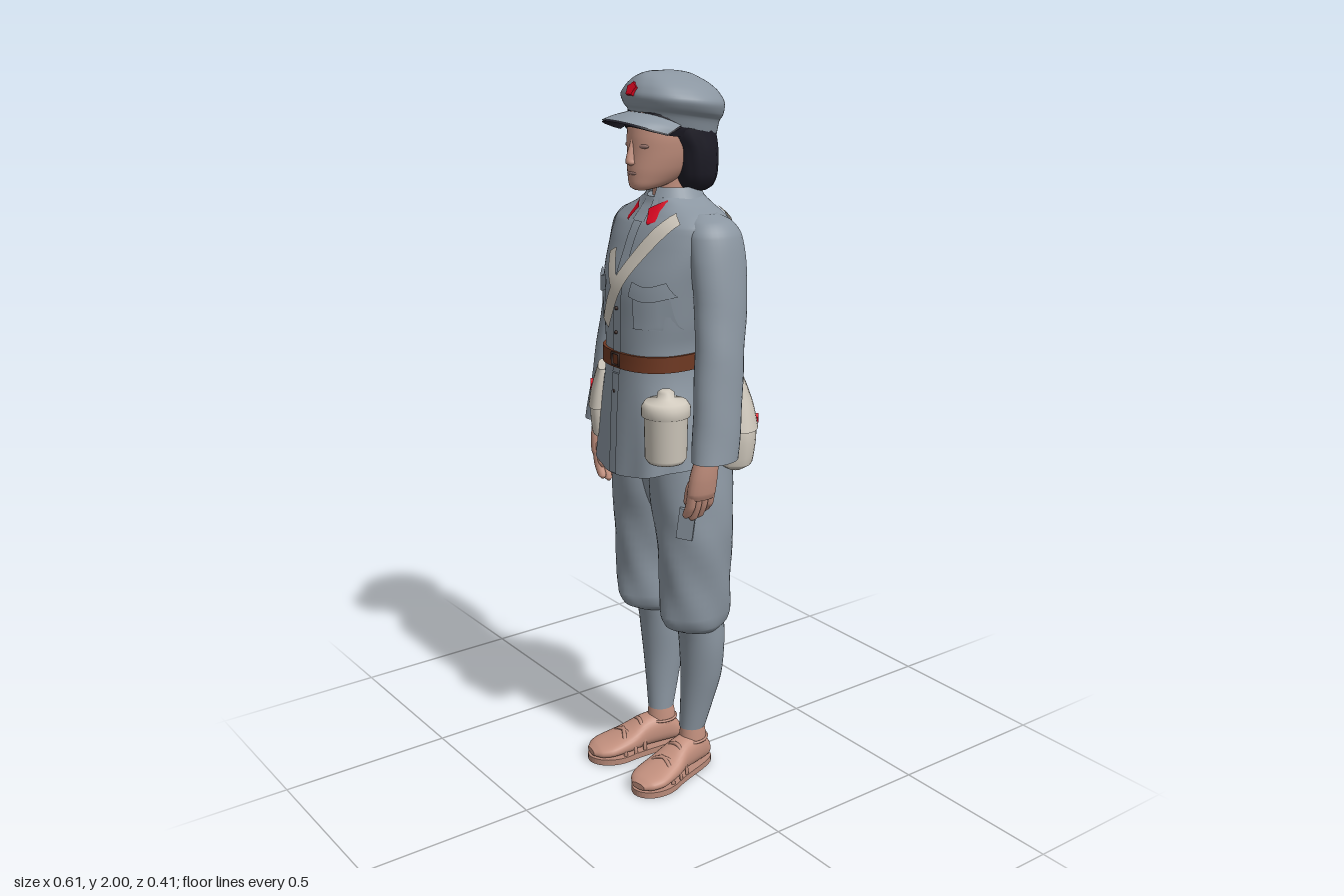
import * as THREE from 'three';

const mat = (name, color, side = THREE.FrontSide) => {
  const m = new THREE.MeshStandardMaterial({ color, side });
  m.name = name;
  return m;
};

// Cross-section at height y: rows are [y, centreX, centreZ, radiusX, radiusZ], y ascending
function sectionAt(S, y) {
  let i = 0;
  while (i < S.length - 2 && y > S[i + 1][0]) i++;
  const slope = (j, k) => (S[j + 1][k] - S[j][k]) / (S[j + 1][0] - S[j][0]);
  const tangent = (j, k) => {
    if (j === 0) return slope(0, k);
    if (j === S.length - 1) return slope(j - 1, k);
    const a = slope(j - 1, k), b = slope(j, k);
    return a * b <= 0 ? 0 : (2 * a * b) / (a + b);
  };
  const h = S[i + 1][0] - S[i][0];
  const t = Math.min(1, Math.max(0, (y - S[i][0]) / h)), t2 = t * t, t3 = t2 * t;
  return [1, 2, 3, 4].map(k => (2 * t3 - 3 * t2 + 1) * S[i][k] + (t3 - 2 * t2 + t) * h * tangent(i, k)
    + (3 * t2 - 2 * t3) * S[i + 1][k] + (t3 - t2) * h * tangent(i + 1, k));
}

function indexed(pos, idx) {
  const g = new THREE.BufferGeometry();
  g.setAttribute('position', new THREE.Float32BufferAttribute(pos, 3));
  g.setIndex(idx);
  g.computeVertexNormals();
  return g;
}

// Smooth skin through the sections; p squares the outline, fold(a, y) scales the radius
function loft(S, { n = 32, rows = 4, p = 2, arc = null, fold = () => 1, lift = () => 0, caps = !arc } = {}) {
  const pos = [], idx = [], [a0, a1] = arc || [0, Math.PI * 2];
  const cols = arc ? n + 1 : n, R = (S.length - 1) * rows;
  const sp = v => Math.sign(v) * Math.abs(v) ** (2 / p);
  const ring = r => {
    const i = Math.min(S.length - 2, Math.floor(r / rows));
    const y = S[i][0] + (S[i + 1][0] - S[i][0]) * (r / rows - i);
    const [cx, cz, rx, rz] = sectionAt(S, y);
    for (let c = 0; c < cols; c++) {
      const a = a0 + (a1 - a0) * c / n, f = fold(a, y);
      pos.push(cx + rx * f * sp(Math.sin(a)), y + lift(a, r / R), cz + rz * f * sp(Math.cos(a)));
    }
    return [cx, y, cz];
  };
  for (let r = 0; r <= R; r++) ring(r);
  for (let r = 0; r < R; r++) for (let c = 0; c < n; c++) {
    const A = r * cols + c, B = r * cols + (c + 1) % cols;
    idx.push(A, B, B + cols, A, B + cols, A + cols);
  }
  if (caps) for (const r of [0, R]) {
    const base = pos.length / 3, mid = base + cols;
    pos.push(...ring(r));
    for (let c = 0; c < n; c++) {
      const A = base + c, B = base + (c + 1) % cols;
      idx.push(...(r ? [mid, A, B] : [mid, B, A]));
    }
  }
  return indexed(pos, idx);
}

// Cloth band following an x-y path, with its depth given by zOf(x, y)
function ribbon(path, width, zOf) {
  const curve = new THREE.SplineCurve(path.map(q => new THREE.Vector2(...q)));
  const pos = [], idx = [], N = 24, W = 4;
  for (let i = 0; i <= N; i++) {
    const q = curve.getPoint(i / N), t = curve.getTangent(i / N);
    for (let j = 0; j <= W; j++) {
      const d = width * (j / W - 0.5), x = q.x - t.y * d, y = q.y + t.x * d;
      pos.push(x, y, zOf(x, y));
      if (i < N && j < W) {
        const A = i * (W + 1) + j, B = A + W + 1;
        idx.push(A, B, B + 1, A, B + 1, A + 1);
      }
    }
  }
  return indexed(pos, idx);
}

function starGeometry(r) {
  const s = new THREE.Shape();
  for (let i = 0; i < 10; i++) {
    const a = Math.PI / 2 + i * Math.PI / 5, q = i % 2 ? r * 0.75 : r;
    s[i ? 'lineTo' : 'moveTo'](q * Math.cos(a), q * Math.sin(a));
  }
  return new THREE.ExtrudeGeometry(s, { depth: 0.009, bevelEnabled: false });
}

export function createModel() {
  const root = new THREE.Group();
  root.name = 'uniformedFigure';
  const cloth = mat('blueGreyCloth', 0x8b96a1, THREE.DoubleSide), skin = mat('skin', 0xc4917f);
  const canvas = mat('creamCanvas', 0xcfc8bc, THREE.DoubleSide), black = mat('black', 0x1d1c26, THREE.DoubleSide);
  const red = mat('red', 0xd8051f, THREE.DoubleSide), leather = mat('brownLeather', 0x6e3822, THREE.DoubleSide);
  const sandal = mat('sandalTan', 0xb98a79), faceDark = mat('faceShade', 0x9a766e), dark = mat('darkButton', 0x3a2a26);
  const add = (name, geo, m, parent = root) => {
    const mesh = new THREE.Mesh(geo, m);
    mesh.name = name;
    parent.add(mesh);
    return mesh;
  };
  const side = (S, s) => S.map(([y, x, ...r]) => [y, x * s, ...r]);

  // Jacket with a flared skirt whose hem rises at the hips
  const jacket = [[0.94, 0, 0.035, 0.178, 0.158], [1.1, 0, 0.04, 0.162, 0.143], [1.23, 0, 0.05, 0.135, 0.124],
    [1.28, 0, 0.05, 0.135, 0.122], [1.36, 0, 0.04, 0.15, 0.13], [1.46, 0, 0.027, 0.168, 0.138], [1.56, 0, 0, 0.188, 0.13],
    [1.61, 0, -0.01, 0.19, 0.117], [1.638, 0, -0.014, 0.16, 0.1], [1.66, 0, -0.014, 0.112, 0.085], [1.68, 0, -0.012, 0.075, 0.075]];
  const bodyP = 2.4;
  const skirtFold = (a, y) => 1 + Math.max(0, 1.22 - y) * 0.09 * Math.cos(9 * a);
  const hemLift = (a, t) => Math.max(0, 1 - t * 10) * 0.03 * Math.sin(a) ** 2;
  add('jacket', loft(jacket, { n: 56, p: bodyP, fold: skirtFold, lift: hemLift }), cloth);
  const onBody = (dir, off) => (x, y) => {
    const [cx, cz, rx, rz] = sectionAt(jacket, y), u = Math.min(1, Math.abs(x - cx) / rx);
    return cz + dir * (rz * (1 - u ** bodyP) ** (1 / bodyP) + off);
  };
  add('frontPlacket', ribbon([[0, 1.62], [0, 1.4], [0, 1.22]], 0.035, onBody(1, 0.004)), cloth);
  add('skirtPlacket', ribbon([[0.005, 1.22], [0.005, 1.1], [0.01, 0.945]], 0.03, onBody(1, 0.009)), cloth);
  for (const y of [1.395, 1.33, 1.17])
    add('button', new THREE.SphereGeometry(0.005, 10, 8), dark).position.set(0, y, onBody(1, 0.007)(0, y));
  for (const s of [1, -1]) {
    add('chestPocket', ribbon([[s * 0.105, 1.46], [s * 0.105, 1.35]], 0.085, onBody(1, 0.004)), cloth);
    add('pocketFlap', ribbon([[s * 0.055, 1.455], [s * 0.105, 1.445], [s * 0.152, 1.46]], 0.04, onBody(1, 0.01)), cloth);
  }

  // Collar with red tabs
  const collar = [[1.62, 0, -0.006, 0.118, 0.112], [1.66, 0, -0.012, 0.092, 0.088], [1.705, 0, -0.015, 0.064, 0.068]];
  add('collar', loft(collar, { arc: [0.2, Math.PI * 2 - 0.2] }), cloth);
  const onCollar = (x, y) => {
    const [, cz, rx, rz] = sectionAt(collar, y);
    return cz + rz * Math.sqrt(Math.max(0, 1 - (x / rx) ** 2)) + 0.007;
  };
  for (const s of [1, -1]) add('collarTab', ribbon([[s * 0.04, 1.664], [s * 0.052, 1.645], [s * 0.062, 1.623]], 0.044, onCollar), red);

  // Belt and buckle
  add('belt', loft([1.235, 1.255, 1.278].map(y => {
    const [cx, cz, rx, rz] = sectionAt(jacket, y);
    return [y, cx, cz, rx + 0.008, rz + 0.008];
  }), { n: 56, p: bodyP }), leather);
  const buckle = add('buckle', new THREE.TorusGeometry(0.022, 0.004, 6, 4).rotateZ(Math.PI / 4), dark);
  buckle.position.set(0, 1.257, 0.181);

  // Shoulder straps, crossing at the chest and hanging to the bag at the back
  add('frontStrap', ribbon([[0.125, 1.637], [0.04, 1.52], [-0.01, 1.44], [-0.055, 1.345]], 0.042, onBody(1, 0.008)), canvas);
  add('crossStrap', ribbon([[-0.065, 1.54], [-0.04, 1.49], [0, 1.43]], 0.034, onBody(1, 0.007)), canvas);
  add('strapEnd', ribbon([[0.112, 1.65], [0.1, 1.615]], 0.035, onBody(-1, 0.008)), canvas);
  add('strapShoulder', ribbon([[-0.135, 1.648], [-0.13, 1.61], [-0.105, 1.54]], 0.034, onBody(-1, 0.012)), canvas);
  const hang = (x, y) => Math.min(-0.12 - (1.54 - y) * 0.06, onBody(-1, 0.008)(x, y));
  add('backStrap', ribbon([[-0.105, 1.545], [-0.03, 1.41], [0.04, 1.28], [0.105, 1.16]], 0.028, hang), canvas);

  // Shoulder bag and belt pouch share one soft shape with a flap
  const softBag = (name, w, h, d, taper, x, y, z, turn, dotX, dotY, dotR) => {
    const g = new THREE.Group();
    g.name = name;
    g.position.set(x, y, z);
    g.rotation.y = turn;
    root.add(g);
    const S = [[-h, 0, 0, w * 0.7, d * 0.4], [-h * 0.85, 0, 0, w * 0.93, d * 0.85], [-h * 0.2, 0, 0, w, d],
      [h * 0.5, 0, 0, w * (0.4 + 0.6 * taper), d * 0.68], [h, 0, 0, w * taper, d * 0.22]];
    add(name + 'Body', loft(S, { p: 2.8 }), canvas, g);
    add(name + 'Flap', loft([-0.1, 0.3, 0.7, 1.03].map(k => {
      const [, , rx, rz] = sectionAt(S, Math.min(h, k * h));
      return [k * h, 0, 0, rx + 0.004, rz + 0.005];
    }), { p: 2.8 }), canvas, g);
    const [, , , rz] = sectionAt(S, dotY);
    add(name + 'Star', starGeometry(dotR), red, g).position.set(dotX, dotY, rz);
  };
  softBag('shoulderBag', 0.102, 0.127, 0.06, 0.66, 0.138, 1.073, -0.117, 2.53, 0.014, -0.004, 0.014);
  softBag('beltPouch', 0.066, 0.1, 0.036, 0.84, -0.149, 1.1, 0.123, -0.62, 0, 0.045, 0.018);

  // Canteen
  const profile = [[0, 0.006], [0.048, 0.006], [0.056, 0.018], [0.058, 0.13], [0.065, 0.134], [0.065, 0.158], [0.056, 0.172],
    [0.024, 0.18], [0.022, 0.196], [0.014, 0.202], [0, 0.202]].map(q => new THREE.Vector2(...q));
  add('canteen', new THREE.LatheGeometry(profile, 32), canvas).position.set(0.172, 1.003, 0.14);

  // Trouser seat tucked between the legs
  add('trouserSeat', loft([[0.79, 0, -0.005, 0.03, 0.035], [0.82, 0, -0.005, 0.06, 0.07], [0.9, 0, -0.005, 0.09, 0.092], [1, 0, 0, 0.1, 0.11]]), cloth);

  for (const s of [1, -1]) {
    const tag = s > 0 ? 'left' : 'right';
    // Sleeve
    add(tag + 'Sleeve', loft(side([[1.015, 0.254, 0.04, 0.051, 0.068], [1.12, 0.242, 0.024, 0.053, 0.07], [1.28, 0.225, 0.006, 0.055, 0.07],
      [1.4, 0.208, -0.01, 0.056, 0.075], [1.52, 0.187, -0.018, 0.058, 0.081], [1.59, 0.168, -0.019, 0.06, 0.078],
      [1.625, 0.152, -0.018, 0.052, 0.062], [1.645, 0.13, -0.016, 0.03, 0.035]], s),
    { fold: (a, y) => 1 + 0.014 * Math.sin(38 * y + 2 * a) * (y < 1.45 ? 1 : 0.3) }), cloth);
    // Hand with curled fingers and thumb
    add(tag + 'Hand', loft(side([[0.905, 0.228, 0.064, 0.02, 0.038], [0.925, 0.23, 0.065, 0.027, 0.044], [0.97, 0.236, 0.063, 0.029, 0.042],
      [1.04, 0.245, 0.055, 0.025, 0.03]], s), { n: 20 }), skin);
    for (let f = 0; f < 4; f++) {
      const z = 0.034 + f * 0.02, low = 0.836 + [0.018, 0.004, 0, 0.01][f];
      add(tag + 'Finger', loft(side([[low, 0.2, z, 0.004, 0.004], [low + 0.01, 0.204, z, 0.014, 0.0115], [0.885, 0.219, z, 0.016, 0.0125],
        [0.935, 0.23, z, 0.016, 0.012]], s), { n: 12 }), skin);
    }
    add(tag + 'Thumb', loft(side([[0.88, 0.203, 0.092, 0.004, 0.004], [0.895, 0.206, 0.092, 0.012, 0.012], [0.94, 0.217, 0.09, 0.014, 0.014],
      [0.975, 0.23, 0.078, 0.012, 0.012]], s), { n: 12 }), skin);
    // Trouser leg, gathered at the knee
    add(tag + 'TrouserLeg', loft(side([[0.465, 0.1, -0.025, 0.064, 0.072], [0.485, 0.102, -0.014, 0.078, 0.096], [0.52, 0.104, -0.011, 0.085, 0.106],
      [0.62, 0.107, -0.01, 0.09, 0.106], [0.75, 0.104, -0.006, 0.104, 0.108], [0.86, 0.092, -0.007, 0.11, 0.119],
      [0.98, 0.086, -0.002, 0.1, 0.125]], s), { n: 44, fold: (a, y) => 1 + 0.028 * Math.sin(5 * a + 28 * y) * Math.min(1, (1 - y) * 3) }), cloth);
    // Wrapped calf
    add(tag + 'Calf', loft(side([[0.135, 0.078, -0.023, 0.036, 0.039], [0.22, 0.086, -0.034, 0.046, 0.05], [0.32, 0.094, -0.043, 0.06, 0.061],
      [0.42, 0.098, -0.04, 0.068, 0.065], [0.5, 0.1, -0.03, 0.066, 0.072]], s)), cloth);
    // Foot in a strapped sandal
    const foot = new THREE.Group();
    foot.name = tag + 'Foot';
    foot.position.set(s * 0.083, 0, 0);
    foot.rotation.y = s * 0.19;
    root.add(foot);
    const F = [[-0.088, 0, -0.04, 0.014, 0.014], [-0.07, 0, -0.05, 0.03, 0.032], [-0.03, 0, -0.066, 0.038, 0.05], [0.03, 0, -0.062, 0.042, 0.046],
      [0.09, 0, -0.047, 0.056, 0.032], [0.15, 0, -0.037, 0.06, 0.022], [0.185, 0, -0.033, 0.048, 0.017], [0.206, 0, -0.03, 0.024, 0.009]];
    add('footBody', loft(F, { p: 2.3 }).rotateX(Math.PI / 2), skin, foot);
    add('ankle', loft([[0.06, 0, -0.025, 0.038, 0.046], [0.1, 0, -0.025, 0.036, 0.043], [0.15, 0, -0.023, 0.032, 0.036]]), skin, foot);
    const sole = new THREE.Shape();
    sole.moveTo(0, 0.094);
    sole.bezierCurveTo(0.05, 0.094, 0.035, -0.02, 0.061, -0.11);
    sole.bezierCurveTo(0.07, -0.17, 0.035, -0.212, 0, -0.212);
    sole.bezierCurveTo(-0.035, -0.212, -0.07, -0.17, -0.061, -0.11);
    sole.bezierCurveTo(-0.035, -0.02, -0.05, 0.094, 0, 0.094);
    add('sole', new THREE.ExtrudeGeometry(sole, { depth: 0.018, bevelEnabled: false }).rotateX(-Math.PI / 2), sandal, foot);
    for (const [z, lean] of [[0.05, 0], [0.1, -0.3], [0.1, 0.3]]) {
      const [, c, rx, ry] = sectionAt(F, z);
      const strap = add('sandalStrap', new THREE.TorusGeometry(1, 0.07, 8, 24, Math.PI), sandal, foot);
      strap.scale.set(rx, ry - c - 0.018, 0.09);
      strap.position.set(0, 0.02, z);
      strap.rotation.y = lean;
    }
    add('heelStrap', new THREE.TorusGeometry(0.039, 0.004, 8, 28).rotateX(Math.PI / 2).scale(1, 1, 1.15), sandal, foot).position.set(0, 0.095, -0.025);
  }
  const flap = add('trouserPocketFlap', new THREE.BoxGeometry(0.045, 0.09, 0.01), cloth);
  flap.position.set(0.182, 0.82, 0.08);
  flap.rotation.set(0.1, 0.7, -0.2);
  add('legWrapEnd', ribbon([[-0.095, 0.474], [-0.068, 0.46], [-0.04, 0.462]], 0.026, x => -0.112 + 14 * (x + 0.095) ** 2), canvas);

  // Neck, head and face
  add('neck', loft([[1.62, 0, -0.012, 0.055, 0.058], [1.7, 0, -0.005, 0.047, 0.052], [1.77, 0, -0.005, 0.05, 0.055]]), skin);
  add('head', loft([[1.7, 0, 0.09, 0.018, 0.02], [1.708, 0, 0.075, 0.036, 0.048], [1.73, 0, 0.047, 0.054, 0.08], [1.76, 0, 0.028, 0.069, 0.099],
    [1.8, 0, 0.018, 0.08, 0.106], [1.84, 0, 0.014, 0.085, 0.109], [1.9, 0, 0.01, 0.085, 0.105]], { n: 40 }), skin);
  add('nose', loft([[1.764, 0, 0.12, 0.006, 0.008], [1.771, 0, 0.122, 0.015, 0.018], [1.782, 0, 0.12, 0.012, 0.02], [1.83, 0, 0.112, 0.007, 0.012]], { n: 16 }), skin);
  add('lips', new THREE.SphereGeometry(1, 16, 10).scale(0.02, 0.006, 0.007), faceDark).position.set(0, 1.745, 0.122);
  for (const s of [1, -1]) {
    const eye = add('eye', new THREE.SphereGeometry(1, 14, 8).scale(0.018, 0.006, 0.005), faceDark);
    eye.position.set(s * 0.034, 1.815, 0.111);
    eye.rotation.y = s * 0.35;
  }

  // Bobbed hair and fringe
  add('bobHair', loft([[1.692, 0, -0.058, 0.062, 0.038], [1.705, 0, -0.054, 0.084, 0.058], [1.74, 0, -0.05, 0.101, 0.069], [1.8, 0, -0.041, 0.107, 0.078],
    [1.85, 0, -0.02, 0.104, 0.096], [1.9, 0, -0.01, 0.1, 0.1]], { n: 48, p: 2.2, fold: a => 1 + 0.012 * Math.cos(16 * a) }), black);
  add('fringe', loft([[1.85, 0, 0.01, 0.092, 0.116], [1.87, 0, 0.008, 0.1, 0.119], [1.9, 0, 0, 0.1, 0.115]],
    { lift: (a, t) => (1 - t) * 0.012 * Math.cos(2 * a) }), black);

  // Soft peaked cap, tipped back, with panel seams and a dark-lined peak
  add('cap', loft([[1.855, 0, -0.012, 0.106, 0.116], [1.885, 0, -0.011, 0.116, 0.122], [1.902, 0, -0.01, 0.132, 0.127], [1.925, 0, -0.008, 0.141, 0.13],
    [1.95, 0, -0.007, 0.122, 0.122], [1.97, 0, -0.003, 0.095, 0.106], [1.988, 0, 0.003, 0.056, 0.08], [1.997, 0, 0.004, 0.028, 0.05], [2, 0, 0.005, 0.006, 0.01]],
  { n: 64, fold: (a, y) => 1 + (y > 1.89 ? 0.016 : 0) * Math.abs(Math.cos(4 * a)), lift: (a, t) => 0.024 * Math.cos(a) * (1 - t) }), cloth);
  for (const [name, drop, m] of [['capPeak', 0, cloth], ['peakLining', 0.005, black]])
    add(name, loft([[1.884 - drop, 0, 0.03, 0.109, 0.159], [1.893 - drop, 0, 0.015, 0.108, 0.14], [1.902 - drop, 0, 0, 0.1, 0.1]],
      { arc: [-1.3, 1.3], p: 2.5, lift: a => (Math.cos(a) - 1) * 0.045 }), m);
  const star = add('capStar', starGeometry(0.02), red);
  star.position.set(0, 1.954, 0.117);
  star.rotation.x = -0.5;
  return root;
}
